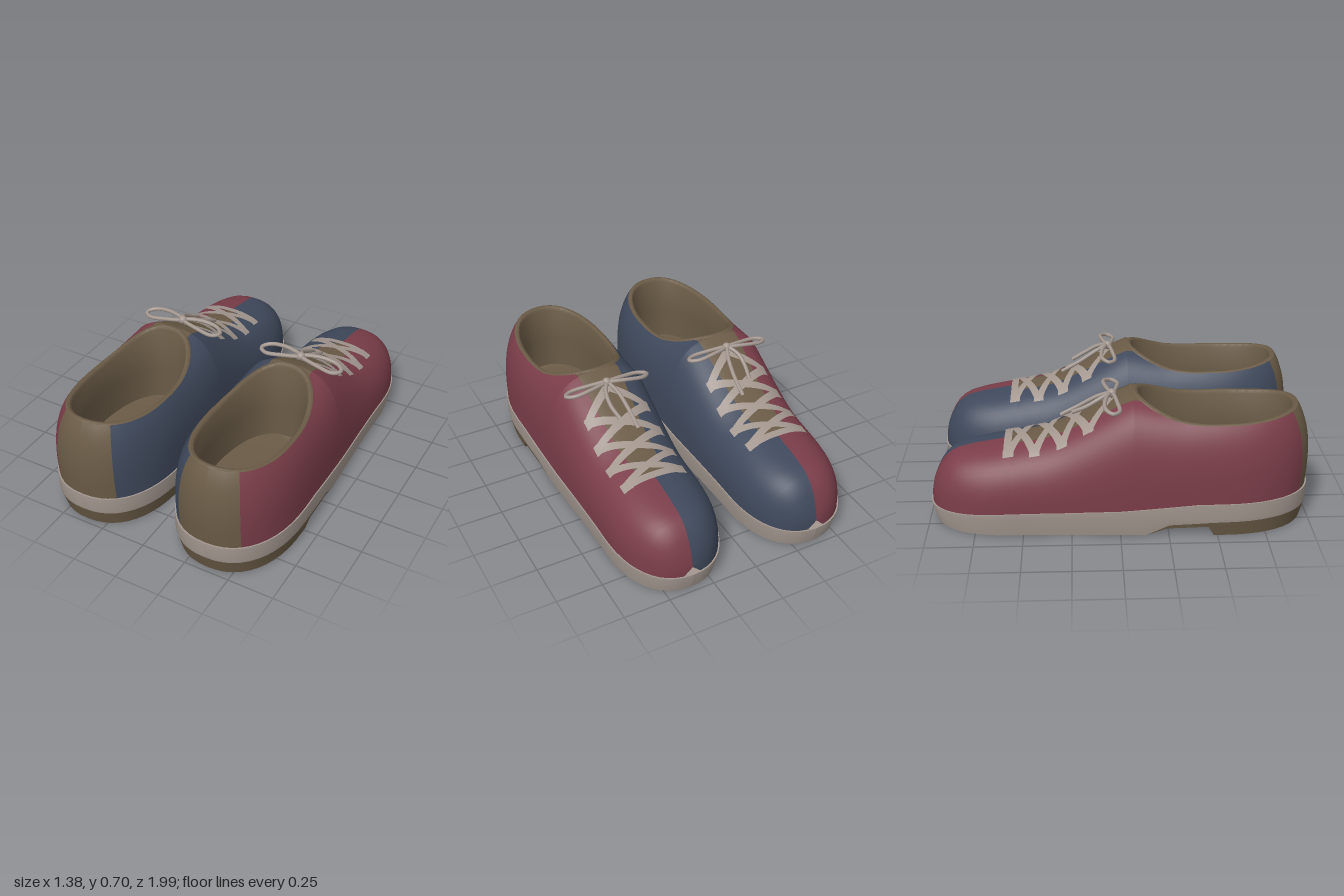
import * as THREE from 'three';
import { toCreasedNormals } from 'three/addons/utils/BufferGeometryUtils.js';

const mat = (name, color) => new THREE.MeshStandardMaterial({ name, color, side: THREE.DoubleSide });
const { lerp, clamp } = THREE.MathUtils;

// Piecewise linear curve through [z, value] pairs
const curve = (pts) => (z) => {
  if (z <= pts[0][0]) return pts[0][1];
  for (let i = 1; i < pts.length; i++) {
    const [a, va] = pts[i - 1], [b, vb] = pts[i];
    if (z <= b) return lerp(va, vb, (z - a) / (b - a));
  }
  return pts[pts.length - 1][1];
};

// Plan of one shoe: toe arc, gently widening middle, heel arc (toe points to -z)
const P = 2.3, TOE = -0.55, HEEL = 0.52, TOE_LEN = 0.435, HEEL_LEN = 0.47;
const arc = (d, len) => Math.pow(Math.max(0, 1 - Math.pow(Math.abs(d) / len, P)), 1 / P);
const halfWidth = (z) => z < TOE ? 0.285 * arc(z - TOE, TOE_LEN)
  : lerp(0.285, 0.32, THREE.MathUtils.smoothstep(z, TOE, HEEL));
const openFront = 0.07, openWidth = 0.245, openBack = 0.41;
const opening = (z) => z <= openFront ? 0 : openWidth * arc(z - HEEL, HEEL - openFront);

// Height curves along the shoe
const baseY = curve([[-1, 0.1], [-0.6, 0.125], [-0.3, 0.13], [0, 0.14], [0.4, 0.18], [1, 0.185]]);
const ridgeY = curve([[-0.985, 0.15], [-0.97, 0.22], [-0.94, 0.29], [-0.9, 0.345], [-0.85, 0.38], [-0.75, 0.405],
  [-0.6, 0.43], [-0.4, 0.465], [-0.3, 0.5], [-0.2, 0.55], [0, 0.66], [0.07, 0.69], [0.2, 0.672], [0.3, 0.665], [0.52, 0.675]]);
const outsoleTop = curve([[0.13, 0], [0.25, 0.065], [0.48, 0.08], [1, 0.09]]);
const outsoleBottom = curve([[0.13, 0], [0.24, 0.045], [0.45, 0.055], [0.48, 0]]);
const tongueWidth = curve([[-0.57, 0], [-0.55, 0.075], [0.07, 0.115]]);
const roundness = curve([[-0.4, 2.5], [0.2, 3]]);

const surfaceY = (x, z) => {
  const n = roundness(z), r = Math.min(1, Math.abs(x) / Math.max(halfWidth(z), 1e-6));
  return baseY(z) + (ridgeY(z) - baseY(z)) * Math.pow(1 - Math.pow(r, n), 1 / n);
};

// Stations from the toe tip to the start of the heel arc, then heel angles
const frontZ = [];
for (let i = 0; i < 12; i++) frontZ.push(TOE - TOE_LEN * Math.pow(Math.cos(i * Math.PI / 24), 2 / P));
frontZ.push(-0.57);
for (let z = TOE; z < 0.06; z += 0.04) frontZ.push(z);
frontZ.push(0.07, 0.0715, 0.075, 0.082, 0.092, 0.105, 0.13, 0.16, 0.2, 0.24, 0.25, 0.3, 0.35, 0.4, 0.45, 0.48, HEEL);
const HEEL_STEPS = 12, HEEL_SPLIT = 8;
const heelPoint = (i, a, len) => {
  const t = i / HEEL_STEPS * Math.PI / 2;
  const c = i === HEEL_STEPS ? 0 : Math.cos(t);
  return [a * Math.pow(c, 2 / P), HEEL + len * Math.pow(Math.sin(t), 2 / P)];
};

// Arched section from x0 up to x1 at one z
const section = (z, x0, x1, steps) => {
  const n = roundness(z), w = Math.max(halfWidth(z), 1e-6);
  const angle = (x) => Math.acos(Math.pow(clamp(x / w, 0, 1), n / 2));
  const a = angle(x0), b = angle(x1), row = [];
  for (let j = 0; j <= steps; j++) {
    const x = w * Math.pow(Math.max(0, Math.cos(lerp(a, b, j / steps))), 2 / n);
    row.push([x, surfaceY(x, z), z]);
  }
  return row;
};
const STEPS = 14;
const heelSection = (i) => section(HEEL, halfWidth(HEEL), openWidth, STEPS).map(([x, y]) => {
  const f = (0.32 - x) / (0.32 - openWidth);
  const o = heelPoint(i, 0.32, HEEL_LEN), r = heelPoint(i, openWidth, openBack);
  const s = Math.sin(i / HEEL_STEPS * Math.PI / 2);
  const bulge = 0.012 * s * Math.sin(Math.PI * Math.min(1, (y - 0.18) / 0.42));
  return [lerp(o[0], r[0], f), 0.18 + (y - 0.18) * (1 + 0.09 * s * s), lerp(o[1], r[1], f) + bulge];
});

// Surface through rows of points
function loft(rows, crease = 0) {
  const m = rows[0].length, index = [];
  for (let i = 0; i < rows.length - 1; i++)
    for (let j = 0; j < m - 1; j++) {
      const a = i * m + j, b = a + m;
      index.push(a, b, a + 1, b, b + 1, a + 1);
    }
  const g = new THREE.BufferGeometry();
  g.setAttribute('position', new THREE.Float32BufferAttribute(rows.flat(2), 3));
  g.setIndex(index);
  g.computeVertexNormals();
  return crease ? toCreasedNormals(g, crease) : g;
}
const mirrorX = (rows) => rows.map((r) => r.map(([x, y, z]) => [-x, y, z]).reverse());

// Scale a plan point about the nearest arc centre
const scalePlan = (x, z, k) => [x * k, z < TOE ? TOE + (z - TOE) * k : z > HEEL ? HEEL + (z - HEEL) * k : z];

function createShoe(side, m) {
  const shoe = new THREE.Group();
  const add = (name, geometry, material) => {
    const mesh = new THREE.Mesh(geometry, material);
    mesh.name = name;
    shoe.add(mesh);
    return mesh;
  };

  // Upper quarters, tongue and heel counter
  const tongueZ = frontZ.filter((z) => z >= -0.571 && z < 0.13);
  const quarter = frontZ.map((z) => section(z, halfWidth(z), Math.max(opening(z), z < 0.13 ? tongueWidth(z) : 0), STEPS));
  const counter = [];
  for (let i = 1; i <= HEEL_STEPS; i++) (i <= HEEL_SPLIT ? quarter : counter).push(heelSection(i));
  counter.unshift(heelSection(HEEL_SPLIT));
  const tongue = tongueZ.map((z) => section(z, Math.max(opening(z), tongueWidth(z)), opening(z), 5));
  for (const s of [1, -1]) {
    const flip = (rows) => (s > 0 ? rows : mirrorX(rows));
    add(s === side ? 'outerQuarter' : 'innerQuarter', loft(flip(quarter)), s === side ? m.red : m.blue);
    add('tongue', loft(flip(tongue)), m.brown);
    add('heelCounter', loft(flip(counter)), m.brown);
  }

  // Collar, lining and insole
  const rim = frontZ.filter((z) => z >= openFront).map((z) => [opening(z), surfaceY(opening(z), z), z]);
  for (let i = 1; i <= HEEL_STEPS; i++) rim.push(heelSection(i)[STEPS]);
  const ring = [...rim, ...rim.slice(0, -1).reverse().map(([x, y, z]) => [-x, y, z])];
  const inset = ([x, y, z], k, newY) => [x * k, newY, 0.5 + (z - 0.5) * (1 + (k - 1) * 0.58)];
  const lining = ring.map((p) => [p, inset(p, 0.97, p[1] + 0.006), inset(p, 0.91, p[1] + 0.004),
    inset(p, 0.87, p[1] - 0.012), inset(p, 0.9, 0.4), inset(p, 0.9, 0.22), [0, 0.21, p[2] * 0.9 + 0.05]]);
  add('collarAndLining', loft(lining, 0.9), m.brown);

  // Midsole wall with a top ledge, and outsole with heel block
  const plan = frontZ.map((z) => [halfWidth(z), z]);
  for (let i = 1; i <= HEEL_STEPS; i++) plan.push(heelPoint(i, 0.32, HEEL_LEN));
  const solePoint = ([x, z], y, k = 1) => {
    const taper = 1.02 - 0.06 * (1 - clamp(y / 0.1, 0, 1));
    const [px, pz] = scalePlan(x, z, taper * k);
    return [px, y, pz];
  };
  const midsole = plan.map((p) => {
    const top = baseY(p[1]) + 0.003, low = outsoleTop(p[1]);
    return [solePoint(p, top, 0.9), solePoint(p, top), solePoint(p, Math.min(top, Math.max(low, 0.1))), solePoint(p, low)];
  });
  add('midsole', loft(midsole, 0.6), m.cream);
  add('midsole', loft(mirrorX(midsole), 0.6), m.cream);
  const outsole = plan.map((p) => {
    const half = [solePoint(p, outsoleTop(p[1])), solePoint(p, outsoleBottom(p[1]))];
    return [...half, ...mirrorX([half])[0]];
  });
  add('outsole', loft(outsole, 0.5), m.brown);

  // Flat laces crossing over the tongue
  const lace = (x0, z0, x1, z1, width = 0.04) => {
    const d = new THREE.Vector2(x1 - x0, z1 - z0).normalize().multiplyScalar(width / 2), rows = [];
    for (let i = 0; i <= 16; i++) {
      const x = lerp(x0, x1, i / 16), z = lerp(z0, z1, i / 16);
      rows.push([-1, 0, 1].map((t) => [x - d.y * t, surfaceY(x - d.y * t, z + d.x * t) + 0.007, z + d.x * t]));
    }
    add('lace', loft(rows), m.cream);
  };
  const eyelets = [[0.17, -0.57], [0.185, -0.435], [0.185, -0.295], [0.175, -0.16]];
  lace(-0.17, -0.575, 0.17, -0.575);
  eyelets.forEach(([x, z], i) => {
    const [nx, nz] = eyelets[i + 1] || [0, -0.04];
    for (const s of [1, -1]) {
      lace(s * x, z, -s * nx, nz);
      lace(s * (x + 0.008), z, s * (x - 0.045), z, 0.055);
    }
  });

  // Bow: two loops, two loose ends and a knot
  const tube = (name, pts, closed) => add(name, new THREE.TubeGeometry(
    new THREE.CatmullRomCurve3(pts.map((p) => new THREE.Vector3(...p)), closed), 32, 0.011, 8, closed), m.cream);
  for (const s of [1, -1])
    tube('bowLoop', [[0, 0.675, -0.035], [s * 0.1, 0.678, -0.07], [s * 0.2, 0.665, -0.07],
      [s * 0.235, 0.655, -0.035], [s * 0.2, 0.652, -0.003], [s * 0.1, 0.662, -0.01]], true);
  tube('laceEnd', [[0, 0.68, -0.035], [side * 0.035, 0.655, -0.1], [side * 0.04, 0.615, -0.17], [side * 0.025, 0.58, -0.24]]);
  tube('laceEnd', [[0, 0.68, -0.035], [-side * 0.03, 0.645, -0.11], [-side * 0.045, 0.59, -0.2], [-side * 0.05, 0.535, -0.3]]);
  const knot = add('bowKnot', new THREE.SphereGeometry(0.024, 14, 10), m.cream);
  knot.position.set(0, 0.674, -0.035);
  return shoe;
}

export function createModel() {
  const m = {
    red: mat('burgundy leather', 0x7a3d49),
    blue: mat('navy leather', 0x3f495c),
    brown: mat('brown leather', 0x6a5b46),
    cream: mat('pale grey rubber and lace', 0xa3978f),
  };
  const model = new THREE.Group();
  model.name = 'pairOfShoes';
  for (const side of [1, -1]) {
    const shoe = createShoe(side, m);
    shoe.name = side > 0 ? 'leftShoe' : 'rightShoe';
    shoe.position.x = side * 0.365;
    model.add(shoe);
  }
  return model;
}
